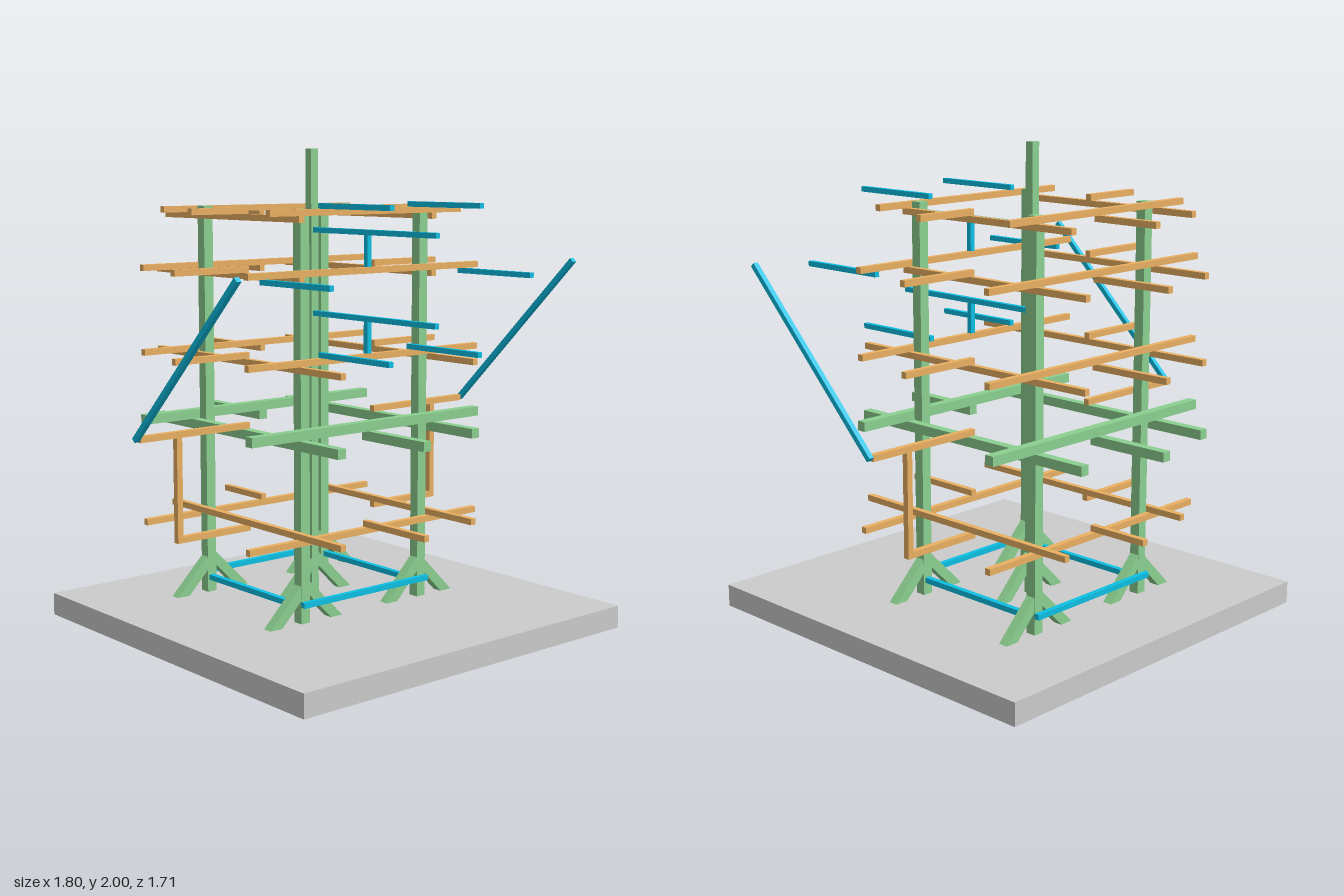
import * as THREE from 'three';

const material = (color) => new THREE.MeshStandardMaterial({ color, flatShading: true });

export function createModel() {
  const model = new THREE.Group();
  model.name = 'timberFrame';
  const grey = material(0xcccccc);
  const green = material(0x8cd090);
  const orange = material(0xeab062);
  const blue = material(0x0cc0e4);

  const add = (name, geometry, mat) => {
    const mesh = new THREE.Mesh(geometry, mat);
    mesh.name = name;
    model.add(mesh);
    return mesh;
  };
  // Box given by its two limits on each axis
  const bar = (name, mat, [x0, x1], [y0, y1], [z0, z1]) => {
    const mesh = add(name, new THREE.BoxGeometry(Math.abs(x1 - x0), y1 - y0, z1 - z0), mat);
    mesh.position.set((x0 + x1) / 2, (y0 + y1) / 2, (z0 + z1) / 2);
    return mesh;
  };

  const GROUND = 0.095;
  const MID = -0.14; // z of the central post
  const FRONT = 0.203, BACK = -0.482; // outer faces of the post rows
  const INNER = 0.343; // outer faces of the posts in x
  const T = 0.026; // orange timber thickness
  const R = 0.022; // blue rod thickness

  // Base slab
  bar('baseSlab', grey, [-0.864, 0.846], [0, GROUND], [-0.856, 0.856]);

  // Posts, each with a pair of sloping foot braces
  const braceShape = new THREE.Shape([
    [-0.1875, 0], [-0.1275, 0], [0, 0.1275], [0.1275, 0], [0.1875, 0], [0, 0.1875],
  ].map(([x, y]) => new THREE.Vector2(x, y)));
  const post = (x, z, size, top, braceX) => {
    const h = size / 2;
    bar('post', green, [x - h, x + h], [GROUND, top], [z - h, z + h]);
    const geometry = new THREE.ExtrudeGeometry(braceShape, { depth: size - 0.002, bevelEnabled: false });
    add('footBrace', geometry, green).position.set(braceX, GROUND, z - h + 0.001);
  };
  post(0, MID, 0.038, 2, 0.012);
  for (const s of [-1, 1]) {
    for (const z of [0.181, -0.46]) post(s * 0.32, z, 0.045, 1.762, s * 0.312);
  }

  // One tier: two cross beams, two side beams and short arms in the middles
  const tier = ({ mat, t, crossY, sideY, cross, arm, armT = T, side, backArm, frontArm }) => {
    const yCross = [crossY, crossY + t], ySide = [sideY, sideY + t];
    bar('frontCrossBeam', mat, [-cross, cross], yCross, [FRONT, FRONT + t]);
    bar('backCrossBeam', mat, [-cross, cross], yCross, [BACK - t, BACK]);
    for (const s of [-1, 1]) {
      bar('sideBeam', mat, [s * INNER, s * (INNER + t)], ySide, side);
      bar('sideArm', orange, [s * INNER, s * arm], [crossY, crossY + armT], [MID - T / 2, MID + T / 2]);
    }
    bar('backArm', mat, [-t / 2, t / 2], ySide, [backArm, BACK]);
    if (frontArm) bar('frontArm', mat, [-t / 2, t / 2], ySide, [FRONT, frontArm]);
  };
  tier({ mat: orange, t: T, crossY: 1.736, sideY: 1.71, cross: 0.512, arm: 0.625,
    side: [-0.682, 0.229], backArm: -0.787 });
  tier({ mat: orange, t: T, crossY: 1.498, sideY: 1.472, cross: 0.62, arm: 0.71,
    side: [-0.755, 0.229], backArm: -0.854 });
  tier({ mat: orange, t: T, crossY: 1.146, sideY: 1.12, cross: 0.62, arm: 0.71,
    side: [-0.755, 0.478], backArm: -0.854 });
  tier({ mat: green, t: 0.04, crossY: 0.855, sideY: 0.815, cross: 0.617, arm: 0.88,
    side: [-0.755, 0.478], backArm: -0.854, frontArm: 0.571 });
  tier({ mat: orange, t: T, crossY: 0.424, sideY: 0.45, cross: 0.62, arm: 0.71,
    side: [-0.664, 0.478], backArm: -0.757, frontArm: 0.571 });

  for (const s of [-1, 1]) {
    // Uprights joining the lowest side arms to the longest ones
    bar('sideUpright', orange, [s * 0.684, s * 0.71], [0.45, 0.855], [MID - T / 2, MID + T / 2]);

    // Rods sloping up and forward from the tips of the longest arms
    const from = new THREE.Vector3(s * 0.891, 0.865, -0.147);
    const to = new THREE.Vector3(s * 0.891, 1.532, 0.527);
    const rod = add('slopingRod', new THREE.BoxGeometry(R, R, from.distanceTo(to)), blue);
    rod.position.copy(from).lerp(to, 0.5);
    rod.lookAt(to);

    // Rods reaching forward from the front cross beams
    for (const [x, y] of [[0.239, 1.762], [0.534, 1.476], [0.239, 1.172]]) {
      bar('frontRod', blue, [s * x - R / 2, s * x + R / 2], [y, y + R], [FRONT, 0.619]);
    }

    // Low ties between front and back posts
    bar('sideTie', blue, [s * 0.311, s * 0.335], [0.148, 0.171], [-0.438, 0.159]);
  }

  // Low ties across the post rows
  bar('frontTie', blue, [-0.343, 0.343], [0.164, 0.187], [FRONT, FRONT + R]);
  bar('backTie', blue, [-0.343, 0.343], [0.164, 0.187], [BACK - R, BACK]);

  // Central rods running forward from the middle post, each on a short prop
  for (const [beamTop, y] of [[1.524, 1.652], [1.172, 1.302]]) {
    bar('centralRod', blue, [-R / 2, R / 2], [y, y + R], [-0.121, 0.619]);
    bar('rodProp', blue, [-R / 2, R / 2], [beamTop, y], [FRONT, FRONT + R]);
  }

  return model;
}
